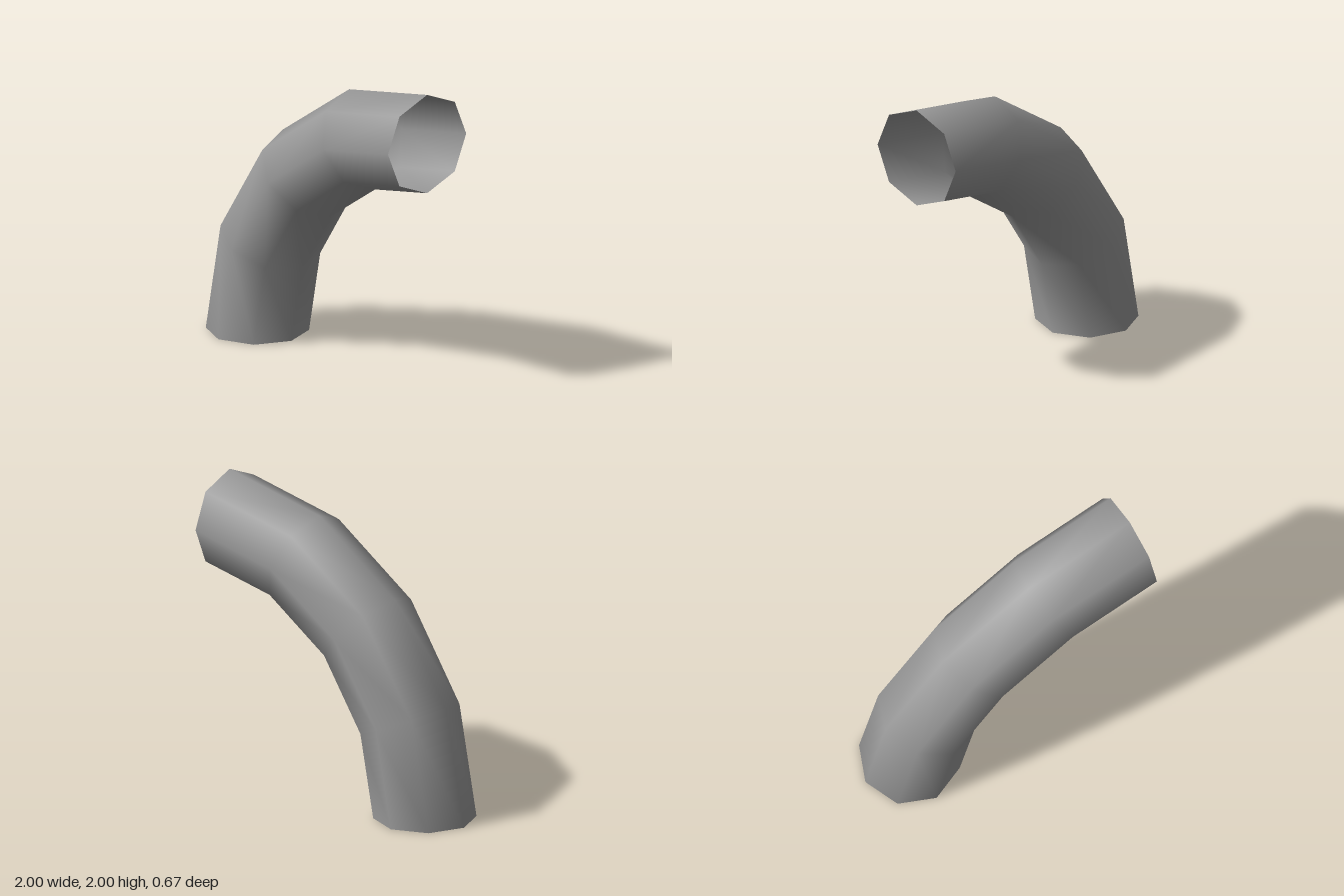
import * as THREE from 'three';

export function createModel() {
  const group = new THREE.Group();
  group.name = 'pipeElbow';

  const grey = new THREE.MeshStandardMaterial({ color: 0x999999, side: THREE.DoubleSide });
  grey.name = 'grey';

  // Open eight-sided tube, a quarter turn in four segments, about (1, 0)
  const outerRadius = 2;
  const tubeRadius = 1 / 3;
  const geometry = new THREE.TorusGeometry(outerRadius - tubeRadius, tubeRadius, 8, 4, Math.PI / 2);
  geometry.rotateZ(Math.PI / 2);
  geometry.translate(1, 0, 0);

  const elbow = new THREE.Mesh(geometry, grey);
  elbow.name = 'bentPipe';
  group.add(elbow);
  return group;
}
